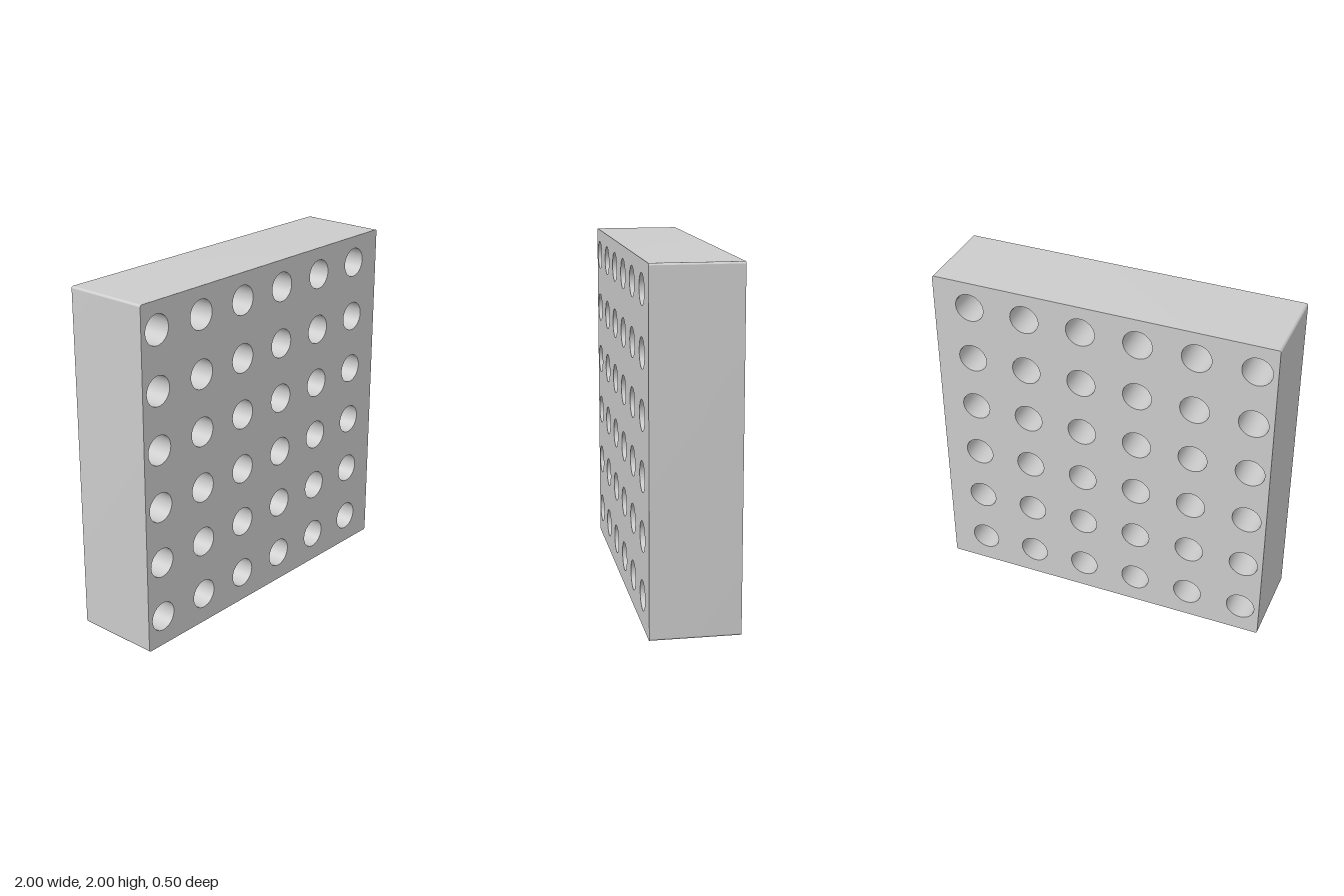
import * as THREE from 'three';
import { toCreasedNormals } from 'three/addons/utils/BufferGeometryUtils.js';

const DEPTH = 0.5;
const HOLE_RADIUS = 0.085;
const PITCH = 0.333;
const COUNT = 6;

// Square outline with slightly rounded corners, standing on y = 0
function plateOutline(r) {
  const s = new THREE.Shape();
  s.absarc(1 - r, r, r, -Math.PI / 2, 0);
  s.absarc(1 - r, 2 - r, r, 0, Math.PI / 2);
  s.absarc(-1 + r, 2 - r, r, Math.PI / 2, Math.PI);
  s.absarc(-1 + r, r, r, Math.PI, Math.PI * 1.5);
  s.closePath();
  return s;
}

export function createModel() {
  const group = new THREE.Group();
  group.name = 'perforatedBlock';

  // Grid of through holes, offset towards the lower left of each cell
  const shape = plateOutline(0.012);
  for (let row = 0; row < COUNT; row++) {
    for (let col = 0; col < COUNT; col++) {
      const hole = new THREE.Path();
      hole.absarc(-0.885 + col * PITCH, 0.178 + row * PITCH, HOLE_RADIUS, 0, Math.PI * 2, true);
      shape.holes.push(hole);
    }
  }

  // Thick block with smooth hole walls and crisp rims
  const geometry = new THREE.ExtrudeGeometry(shape, { depth: DEPTH, bevelEnabled: false, curveSegments: 16 });
  geometry.translate(0, 0, -DEPTH / 2);
  const block = new THREE.Mesh(
    toCreasedNormals(geometry, 0.6),
    new THREE.MeshStandardMaterial({ color: 0xcccccc })
  );
  block.name = 'block';
  group.add(block);
  return group;
}
